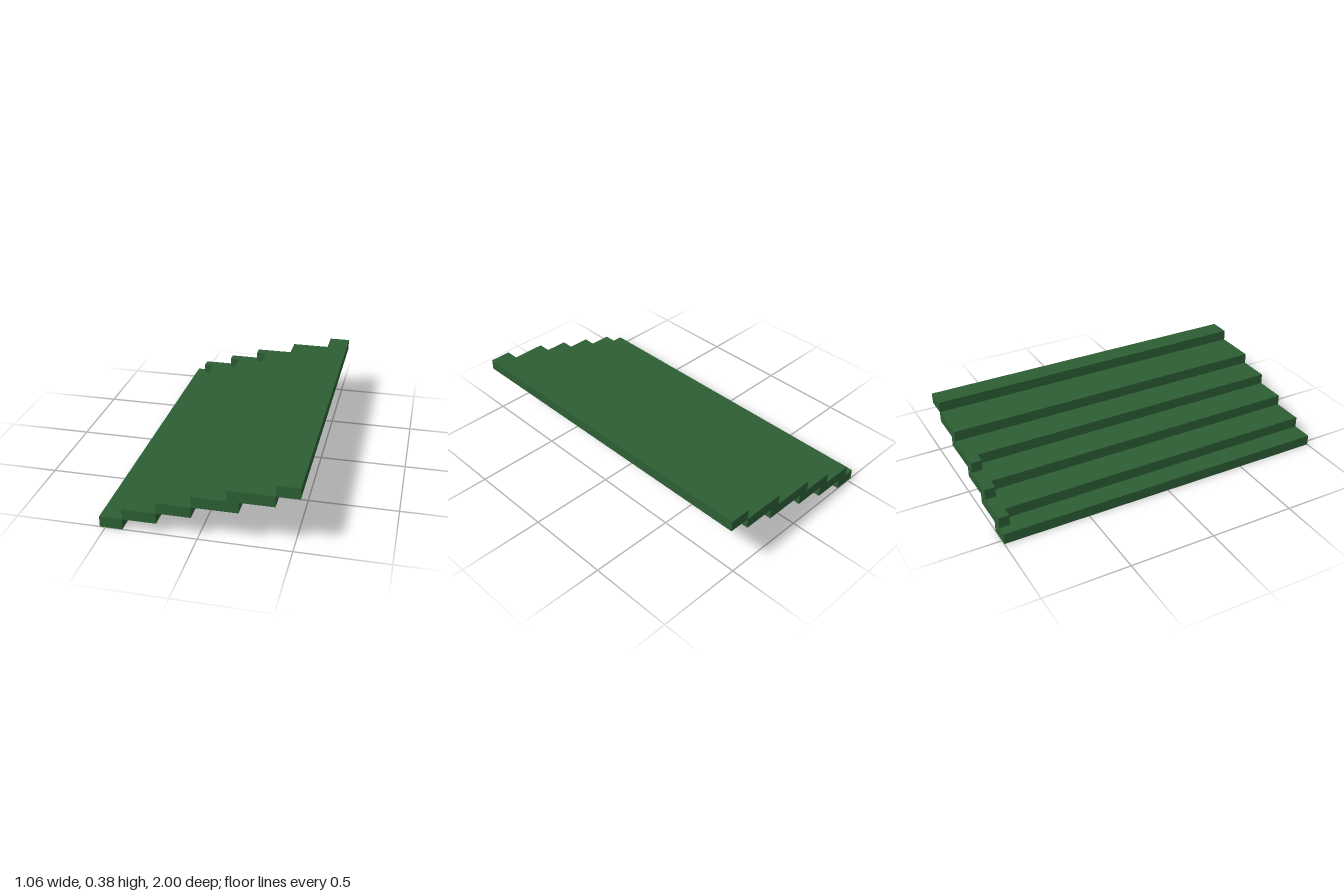
import * as THREE from 'three';

const U = 1 / 16; // one block
const HALF_WIDTH = 8.5, HALF_LENGTH = 16; // in blocks

// Slab with a plan outline of [x, z] block corners, one block thick
function slab(name, level, outline, material) {
  const points = outline.map(([x, z]) =>
    new THREE.Vector2((x - HALF_WIDTH) * U, (z - HALF_LENGTH) * U));
  const geometry = new THREE.ExtrudeGeometry(new THREE.Shape(points), { depth: U, bevelEnabled: false });
  geometry.rotateX(Math.PI / 2);
  geometry.translate(0, (level + 1) * U, 0);
  const mesh = new THREE.Mesh(geometry, material);
  mesh.name = name;
  return mesh;
}

export function createModel() {
  const group = new THREE.Group();
  group.name = 'steppedSlope';
  const green = new THREE.MeshStandardMaterial({ color: 0x2d5f34 });
  green.name = 'darkGreen';

  // Each step: first and last block across, and whether a tab sticks out at the back
  const steps = [
    [0, 2, false], [2, 5, true], [5, 8, true],
    [8, 12, true], [11, 15, false], [15, 17, false],
  ];
  steps.forEach(([a, b, tab], level) => {
    const outline = tab
      ? [[a - 1, 0], [b, 0], [b, 32], [a, 32], [a, 1], [a - 1, 1]]
      : [[a, 0], [b, 0], [b, 32], [a, 32]];
    group.add(slab(`step${level + 1}`, level, outline, green));
  });

  // Single block tucked under the top step
  group.add(slab('supportBlock', 4, [[15, 2], [16, 2], [16, 3], [15, 3]], green));
  return group;
}
